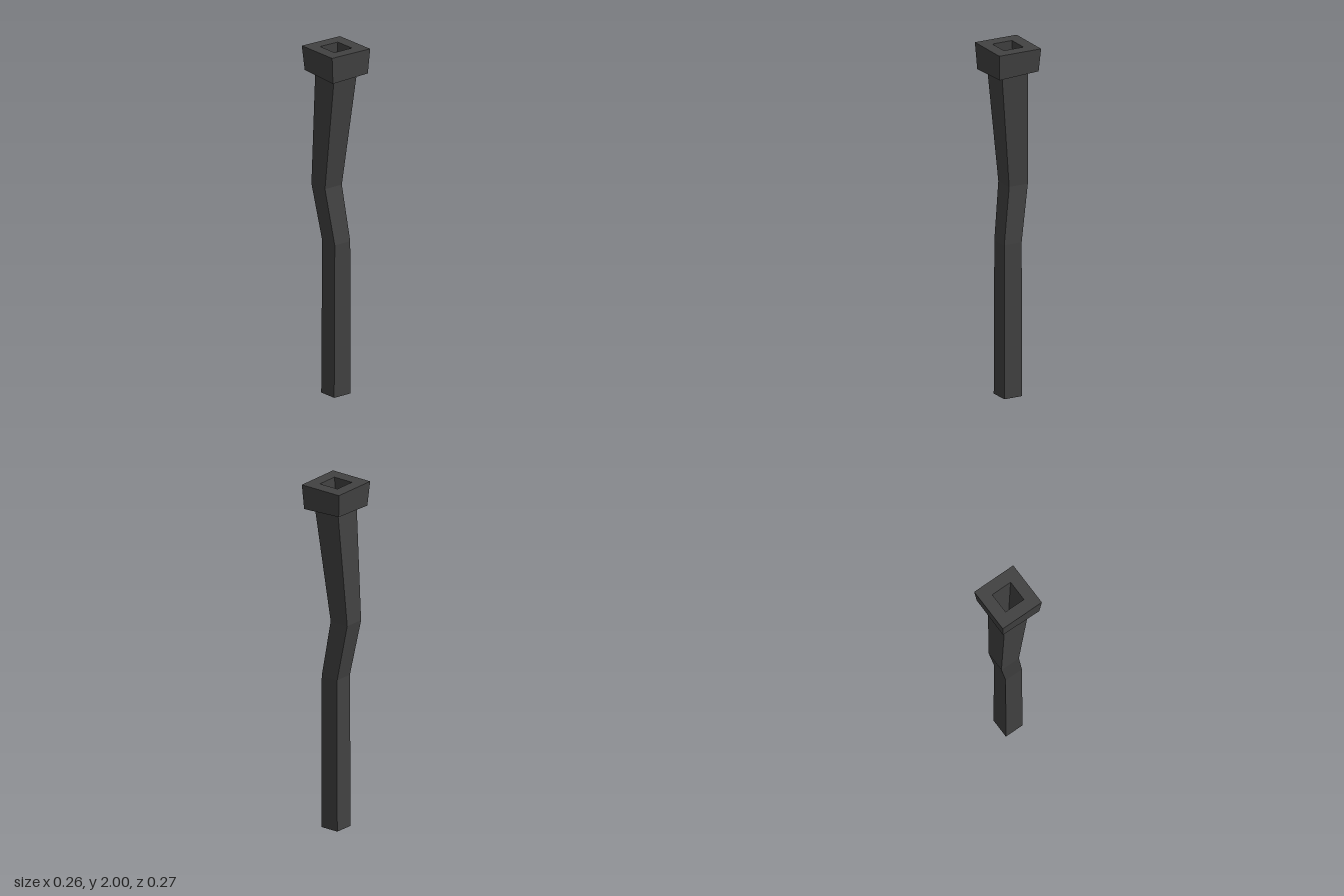
import * as THREE from 'three';

const material = new THREE.MeshStandardMaterial({
  color: 0x424242, flatShading: true, side: THREE.DoubleSide,
});

// Four corners of a section: height, x range, z range, slope along x and z
function ring([y, x0, x1, z0, z1, sx = 0, sz = 0]) {
  return [[x0, z1], [x1, z1], [x1, z0], [x0, z0]]
    .map(([x, z]) => [x, y + sx * x + sz * z, z]);
}

// Flat-sided skin through a list of sections, optionally closed at the last one
function loft(name, sections, closeEnd = false) {
  const rings = sections.map(ring);
  const points = [];
  const quad = (a, b, c, d) => points.push(...a, ...b, ...c, ...a, ...c, ...d);
  for (let i = 0; i < rings.length - 1; i++) {
    for (let k = 0; k < 4; k++) {
      const n = (k + 1) % 4;
      quad(rings[i][k], rings[i][n], rings[i + 1][n], rings[i + 1][k]);
    }
  }
  if (closeEnd) quad(...rings[rings.length - 1]);
  const geometry = new THREE.BufferGeometry();
  geometry.setAttribute('position', new THREE.Float32BufferAttribute(points, 3));
  geometry.computeVertexNormals();
  const mesh = new THREE.Mesh(geometry, material);
  mesh.name = name;
  return mesh;
}

export function createModel() {
  const group = new THREE.Group();
  group.name = 'crookedPost';

  const neck = [1.857, -0.08, 0.082, -0.08, 0.08, -0.05, -0.02];
  const rim = [1.998, -0.062, 0.061, -0.063, 0.061, 0, 0.02];

  // Crooked square shaft, open at the foot
  group.add(loft('shaft', [
    [0, -0.057, 0.055, -0.058, 0.057],
    [0.88, -0.055, 0.054, -0.056, 0.052],
    [1.2, -0.107, 0.01, -0.033, 0.085],
    neck,
  ]));

  // Flared collar: underside, sides and top face around the socket
  group.add(loft('collar', [
    neck,
    [1.857, -0.122, 0.122, -0.124, 0.12, -0.05, -0.02],
    [1.998, -0.132, 0.13, -0.134, 0.132, 0, 0.02],
    rim,
  ]));

  // Leaning socket sunk into the top
  group.add(loft('socket', [
    rim,
    [1.52, -0.086, 0.035, -0.048, 0.075],
  ], true));

  return group;
}
